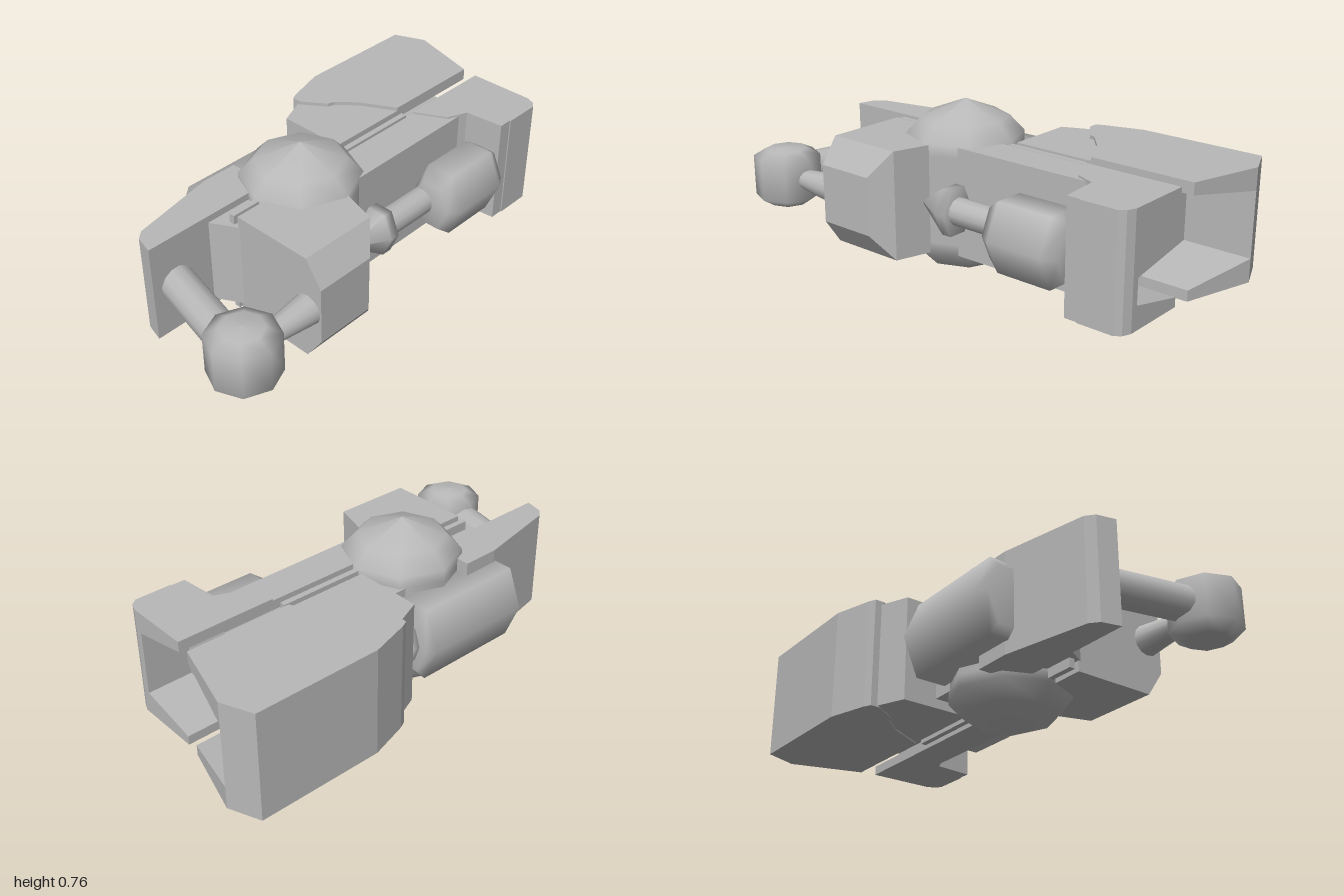
import * as THREE from 'three';

const MID = 0.388; // height of the horizontal mirror plane

export function createModel() {
  const model = new THREE.Group();
  const grey = new THREE.MeshStandardMaterial({ color: 0xb8b8b8 });
  grey.name = 'plain grey';

  const add = (name, geometry) => {
    const mesh = new THREE.Mesh(geometry, grey);
    mesh.name = name;
    model.add(mesh);
    return mesh;
  };

  // Plan outline [x, z] raised between two heights; a height may depend on z
  const slab = (name, plan, bottom, top) => {
    const shape = new THREE.Shape(plan.map(([x, z]) => new THREE.Vector2(x, -z)));
    const g = new THREE.ExtrudeGeometry(shape, { depth: 1, bevelEnabled: false });
    g.rotateX(-Math.PI / 2);
    const p = g.attributes.position;
    for (let i = 0; i < p.count; i++) {
      const h = p.getY(i) > 0.5 ? top : bottom;
      p.setY(i, typeof h === 'function' ? h(p.getZ(i)) : h);
    }
    g.computeVertexNormals();
    return add(name, g);
  };

  // Turned part [radius, height] around the vertical axis
  const turned = (name, profile, sides, x, z) => {
    const g = new THREE.LatheGeometry(profile.map(([r, y]) => new THREE.Vector2(r, y)), sides);
    add(name, g).position.set(x, 0, z);
  };

  // Turned part [radius, x] lying along x, stretched in height
  const lying = (name, profile, sides, z, stretch = 1) => {
    const g = new THREE.LatheGeometry(profile.map(([r, x]) => new THREE.Vector2(r, x)), sides);
    g.rotateZ(-Math.PI / 2);
    g.scale(1, stretch, 1);
    add(name, g).position.set(0, MID, z);
  };

  // Straight round rod between two points
  const rod = (name, a, b, r0, r1) => {
    const from = new THREE.Vector3(...a), to = new THREE.Vector3(...b);
    const dir = to.clone().sub(from);
    const mesh = add(name, new THREE.CylinderGeometry(r1, r0, dir.length(), 12));
    mesh.position.copy(from).addScaledVector(dir, 0.5);
    mesh.quaternion.setFromUnitVectors(new THREE.Vector3(0, 1, 0), dir.normalize());
  };

  // Central spine with a raised rib
  slab('spine', [[-0.6, -0.1], [0.46, -0.1], [0.46, 0.01], [-0.54, 0.01]], 0.2, 0.575);
  slab('spineRib', [[-0.54, -0.045], [0.45, -0.045], [0.45, -0.02], [-0.54, -0.02]], 0.16, 0.615);
  slab('spineBack', [[-0.4, -0.22], [0.1, -0.22], [0.1, -0.1], [-0.4, -0.1]], 0.2, 0.575);
  for (const [z0, z1] of [[-0.07, -0.035], [-0.035, 0]]) {
    slab('spineEnd', [[0.3, z0], [0.7, z0], [0.7, z1], [0.3, z1]],
      z => 0.195 + 0.145 * Math.abs(z + 0.035), z => 0.585 - 0.145 * Math.abs(z + 0.035));
  }

  // Front body and the chamfered block beside it
  slab('frontBody', [[-0.54, 0], [0.56, 0], [0.64, 0.155], [-0.14, 0.16], [-0.2, 0.36], [-0.54, 0.36]], 0.155, 0.622);
  slab('frontBlockNose', [[-0.54, 0.36], [-0.2, 0.36], [-0.28, 0.435], [-0.54, 0.435]],
    z => 0.155 + (z - 0.36) * 1.45, z => 0.622 - (z - 0.36) * 1.45);

  // Front jaw: solid root, outer wall and two sloping lips around the cavity
  slab('frontJaw', [[0.47, 0], [0.7, 0], [0.7, 0.34], [0.64, 0.34], [0.625, 0.17], [0.54, 0.135]], 0.155, 0.63);
  slab('frontJawWall', [[0.7, 0.26], [0.9, 0.26], [0.9, 0.29], [0.885, 0.325], [0.86, 0.345], [0.7, 0.345]], 0.155, 0.63);
  const frontLip = [[0.7, 0], [0.9, 0], [0.9, 0.26], [0.7, 0.26]];
  slab('frontJawTopLip', frontLip, z => 0.585 - 0.19 * z, 0.63);
  slab('frontJawBottomLip', frontLip, 0.155, z => 0.195 + 0.23 * z);

  // Rear jaw with its stepped root
  slab('rearBody', [[0.08, -0.37], [0.21, -0.425], [0.34, -0.3], [0.47, -0.07], [0.08, -0.07]], 0.16, 0.615);
  slab('rearJaw', [[0.2, -0.45], [0.23, -0.465], [0.4, -0.515], [0.7, -0.515], [0.7, -0.07], [0.45, -0.07],
    [0.37, -0.22], [0.3, -0.3], [0.27, -0.31], [0.2, -0.41]], 0.155, 0.63);
  slab('rearJawWall', [[0.7, -0.515], [0.945, -0.515], [1, -0.38], [0.7, -0.38]], 0.155, 0.63);
  const rearLip = [[0.7, -0.38], [1, -0.38], [0.91, -0.07], [0.7, -0.07]];
  slab('rearJawTopLip', rearLip, z => 0.585 + 0.145 * (z + 0.035), 0.63);
  slab('rearJawBottomLip', rearLip, 0.155, z => 0.195 - 0.175 * (z + 0.035));

  // Rear wing
  slab('rearWing', [[-0.885, -0.1], [-0.865, -0.18], [-0.83, -0.21], [-0.46, -0.285], [-0.3, -0.285], [-0.3, -0.1]], 0.172, 0.605);

  // Eight-sided hub, domed above and below
  turned('hub', [[0, 0.005], [0.185, 0.082], [0.248, 0.15], [0.248, 0.2]], 8, -0.17, -0.035);
  turned('hubCore', [[0.248, 0.2], [0.248, 0.575]], 8, -0.17, -0.035);
  turned('hubDome', [[0.248, 0.575], [0.248, 0.625], [0.185, 0.692], [0, 0.767]], 8, -0.17, -0.035);

  // Rear barrel and its collar
  lying('barrel', [[0, -0.505], [0.1, -0.505], [0.133, -0.475], [0.133, 0.005], [0.1, 0.035], [0, 0.035]], 6, -0.297, 1.4);
  lying('barrelCollar', [[0, 0.02], [0.085, 0.02], [0.085, 0.07], [0, 0.07]], 8, -0.275, 1.2);

  // Front piston: pointed nut, rod and bulb
  lying('pistonNut', [[0, -0.17], [0.083, -0.02], [0.083, 0.025], [0, 0.025]], 6, 0.235, 1.35);
  rod('pistonRod', [0.01, MID, 0.23], [0.3, MID, 0.23], 0.058, 0.058);
  lying('pistonBulb', [[0, 0.268], [0.09, 0.268], [0.128, 0.325], [0.128, 0.575], [0.095, 0.628], [0, 0.628]], 6, 0.278, 1.3);

  // Joint knob with its two rods
  turned('jointKnob', [[0, 0.255], [0.085, 0.262], [0.143, 0.3], [0.143, 0.475], [0.085, 0.505], [0, 0.513]], 8, -0.857, 0.363);
  rod('shortRod', [-0.76, MID, 0.365], [-0.53, MID, 0.365], 0.04, 0.066);
  rod('longRod', [-0.86, MID, 0.3], [-0.765, MID, -0.13], 0.073, 0.073);

  return model;
}
